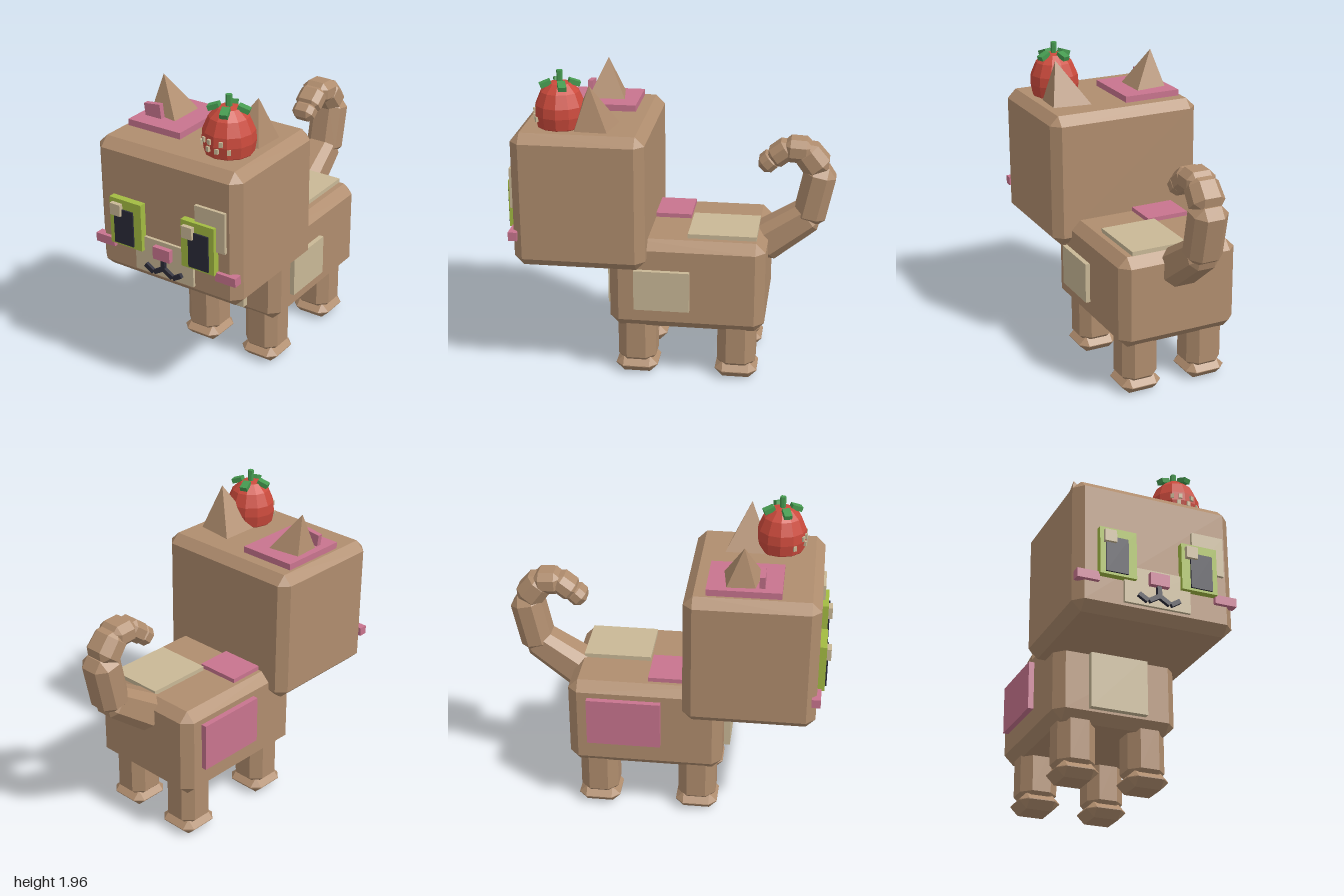
import * as THREE from 'three';
import { ConvexGeometry } from 'three/addons/geometries/ConvexGeometry.js';

const material = (name, color) => {
  const m = new THREE.MeshStandardMaterial({ color, flatShading: true });
  m.name = name;
  return m;
};

// Box with flat chamfers on every edge; taper narrows the upper end
function chamferBox(w, h, d, c, taper = 0) {
  const pts = [];
  for (const sx of [-1, 1]) for (const sy of [-1, 1]) for (const sz of [-1, 1]) {
    for (let axis = 0; axis < 3; axis++) {
      const inset = [c, c, c];
      inset[axis] = 0;
      const y = sy * (h / 2 - inset[1]);
      const k = 1 - taper * (y / h + 0.5);
      pts.push(new THREE.Vector3(sx * (w / 2 - inset[0]) * k, y, sz * (d / 2 - inset[2]) * k));
    }
  }
  return new ConvexGeometry(pts);
}

export function createModel() {
  const brown = material('brown fur', 0xb08d6e);
  const cream = material('cream', 0xc9b896);
  const pink = material('pink', 0xc8748e);
  const lime = material('lime', 0xa3bb42);
  const dark = material('dark', 0x2a2a38);
  const red = material('red', 0xcb4a3c);
  const green = material('green', 0x469a50);

  const model = new THREE.Group();
  model.name = 'cat';

  const add = (name, geometry, mat, x = 0, y = 0, z = 0, parent = model) => {
    const mesh = new THREE.Mesh(geometry, mat);
    mesh.name = name;
    mesh.position.set(x, y, z);
    parent.add(mesh);
    return mesh;
  };
  // Plain block given by its limits on each axis
  const block = (name, mat, [x0, x1], [y0, y1], [z0, z1]) =>
    add(name, new THREE.BoxGeometry(x1 - x0, y1 - y0, z1 - z0), mat,
      (x0 + x1) / 2, (y0 + y1) / 2, (z0 + z1) / 2);

  // Head and body
  add('head', chamferBox(1.01, 0.85, 0.81, 0.057), brown, 0, 1.19, 0.525);
  add('body', chamferBox(0.79, 0.59, 0.965, 0.06), brown, 0, 0.635, -0.122);

  // Legs and paws
  for (const x of [-0.225, 0.225]) for (const z of [0.2, -0.43]) {
    add('leg', chamferBox(0.24, 0.42, 0.24, 0.06), brown, x, 0.26, z);
    add('paw', chamferBox(0.265, 0.105, 0.265, 0.05), brown, x, 0.0525, z);
  }

  // Curled tail: start z, y, end z, y, width, thickness, taper
  const tail = [
    [-0.53, 0.79, -0.89, 1.04, 0.245, 0.245, 0.22],
    [-0.84, 0.96, -0.92, 1.34, 0.22, 0.2, 0],
    [-0.925, 1.29, -0.79, 1.46, 0.21, 0.185, 0.1],
    [-0.86, 1.43, -0.68, 1.44, 0.19, 0.145, 0],
    [-0.73, 1.46, -0.6, 1.36, 0.17, 0.13, 0],
    [-0.63, 1.39, -0.545, 1.31, 0.15, 0.115, 0],
  ];
  for (const [z0, y0, z1, y1, w, t, taper] of tail) {
    const length = Math.hypot(z1 - z0, y1 - y0);
    const piece = add('tailSegment', chamferBox(w, length, t, Math.min(0.055, t * 0.28), taper),
      brown, 0, (y0 + y1) / 2, (z0 + z1) / 2);
    piece.rotation.x = Math.atan2(z1 - z0, y1 - y0);
  }

  // Ears: skewed pyramids
  for (const s of [-1, 1]) {
    const corners = [[0.405, 0.345], [0.145, 0.31], [0.145, 0.6], [0.395, 0.555]];
    const pts = corners.map(([x, z]) => new THREE.Vector3(s * x, 1.6, z));
    pts.push(new THREE.Vector3(s * 0.335, 1.885, 0.465));
    add('ear', new ConvexGeometry(pts), brown);
  }
  block('innerEar', pink, [-0.385, -0.27], [1.64, 1.737], [0.56, 0.593]).rotation.z = 0.12;

  // Fur patches
  block('headPatch', pink, [-0.43, -0.055], [1.6, 1.655], [0.25, 0.695]);
  block('facePatch', cream, [0.225, 0.43], [1.125, 1.38], [0.92, 0.95]);
  block('chestPatch', cream, [-0.185, 0.18], [0.415, 0.8], [0.34, 0.4]);
  block('rightPatch', pink, [-0.43, -0.38], [0.525, 0.835], [-0.48, -0.02]);
  block('leftPatch', cream, [0.38, 0.425], [0.485, 0.745], [-0.145, 0.2]);
  block('backPatchCream', cream, [-0.065, 0.3], [0.91, 0.957], [-0.545, -0.122]);
  block('backPatchPink', pink, [-0.31, -0.03], [0.91, 0.957], [-0.107, 0.15]);

  // Eyes and cheeks
  for (const s of [-1, 1]) {
    const c = s * 0.257;
    block('eye', lime, [c - 0.114, c + 0.114], [0.98, 1.28], [0.92, 0.973]);
    block('pupil', dark, [s * 0.267 - 0.069, s * 0.267 + 0.069], [0.995, 1.22], [0.95, 0.983]);
    block('eyeHighlight', cream, [c - 0.092, c - 0.02], [1.18, 1.255], [0.95, 1.0]);
    const cheek = [s * 0.365, s * 0.503].sort((a, b) => a - b);
    block('cheek', pink, cheek, [0.938, 0.993], [0.9, 0.955]);
  }

  // Muzzle, nose and mouth
  block('muzzle', cream, [-0.21, 0.205], [0.84, 1.07], [0.92, 0.948]);
  block('nose', pink, [-0.06, 0.06], [0.965, 1.043], [0.93, 0.98]);
  const strokes = [[0, 0.97, 0, 0.895]];
  for (const s of [-1, 1]) {
    strokes.push([0, 0.905, s * 0.065, 0.865], [s * 0.072, 0.863, s * 0.128, 0.898]);
  }
  for (const [x0, y0, x1, y1] of strokes) {
    const line = new THREE.BoxGeometry(Math.hypot(x1 - x0, y1 - y0), 0.028, 0.04);
    add('mouth', line, dark, (x0 + x1) / 2, (y0 + y1) / 2, 0.95)
      .rotation.z = Math.atan2(y1 - y0, x1 - x0);
  }

  // Strawberry on the head
  const berry = new THREE.Group();
  berry.name = 'strawberry';
  berry.position.set(0.263, 0, 0.655);
  model.add(berry);
  const profile = [[0, 1.54], [0.1, 1.56], [0.145, 1.62], [0.157, 1.69], [0.152, 1.75],
    [0.118, 1.83], [0.065, 1.88], [0, 1.89]].map(([r, y]) => new THREE.Vector2(r, y));
  add('fruit', new THREE.LatheGeometry(profile, 12), red, 0, 0, 0, berry);
  add('stem', new THREE.CylinderGeometry(0.019, 0.019, 0.1, 6), green, 0, 1.907, 0, berry);
  for (let i = 0; i < 4; i++) {
    const pivot = new THREE.Group();
    pivot.name = 'leafPivot';
    pivot.rotation.y = i * Math.PI / 2 + 0.34;
    berry.add(pivot);
    add('leaf', new THREE.BoxGeometry(0.07, 0.03, 0.048), green, 0.087, 1.878, 0, pivot)
      .rotation.z = -0.35;
  }
  const seeds = [[-0.125, 1.67], [-0.04, 1.67], [0.02, 1.67], [0.085, 1.67],
    [-0.075, 1.715], [-0.03, 1.715], [0.045, 1.715]];
  for (const [x, y] of seeds) {
    const seed = add('seed', new THREE.BoxGeometry(0.022, 0.03, 0.022), cream,
      x, y, Math.sqrt(0.152 ** 2 - x * x), berry);
    seed.rotation.y = Math.asin(x / 0.152);
  }
  return model;
}
